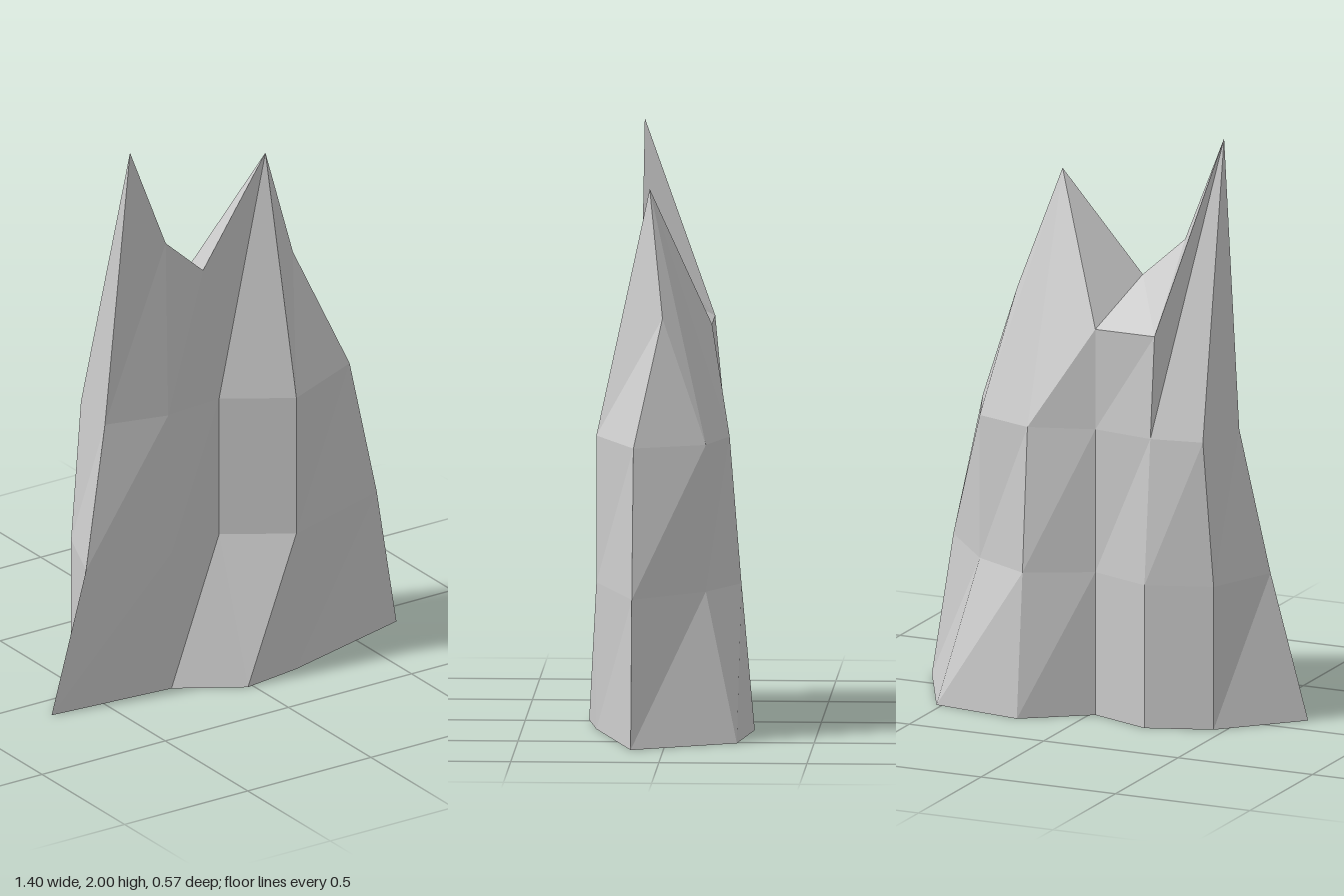
import * as THREE from 'three';

// Cross-sections of the rock, ten corners each, running left side, front, right side, back: [x, y, z]
const ring = (y, corners) => corners.map(([x, z]) => [x, y, z]);

const base = ring(0, [
  [-0.70, 0.11], [-0.24, 0.15], [-0.02, 0.285], [0.20, 0.25], [0.70, 0.11],
  [0.52, -0.24], [0.20, -0.285], [-0.02, -0.13], [-0.24, -0.21], [-0.46, -0.13],
]);
const lower = ring(0.5, [
  [-0.56, 0.11], [-0.24, 0.15], [-0.02, 0.11], [0.20, 0.25], [0.62, 0.11],
  [0.41, -0.13], [0.20, -0.24], [-0.02, -0.13], [-0.24, -0.21], [-0.46, -0.13],
]);
const upper = ring(1, [
  [-0.46, 0.075], [-0.24, 0.13], [-0.02, 0.11], [0.20, 0.25], [0.51, 0.11],
  [0.41, -0.13], [0.20, -0.20], [-0.02, -0.13], [-0.24, -0.163], [-0.42, -0.13],
]);

// Crest: the last section closes onto two peaks, a shoulder and a rear ledge
const tallPeak = [-0.385, 2, 0.115];
const shortPeak = [0.195, 1.84, 0.07];
const shoulder = [0.34, 1.42, 0.02];
const crest = [
  tallPeak, [-0.24, 1.63, 0.115], [-0.085, 1.49, 0.11], shortPeak, shoulder,
  shoulder, shortPeak, [-0.02, 1.35, -0.13], [-0.24, 1.35, -0.13], tallPeak,
];

function rockGeometry() {
  const positions = [];
  const tri = (a, b, c) => {
    // Skip triangles that collapse where crest corners merge
    if (a !== b && b !== c && a !== c) positions.push(...a, ...b, ...c);
  };
  const quad = (a, b, c, d) => { tri(a, b, c); tri(a, c, d); };

  // Side walls
  const rings = [base, lower, upper, crest];
  for (let r = 0; r < rings.length - 1; r++) {
    const low = rings[r], high = rings[r + 1];
    for (let i = 0; i < low.length; i++) {
      const j = (i + 1) % low.length;
      quad(low[i], low[j], high[j], high[i]);
    }
  }

  // Sloping saddle between the peaks and the rear ledge
  tri(crest[3], crest[7], crest[2]);
  quad(crest[2], crest[7], crest[8], crest[1]);
  tri(crest[1], crest[8], crest[0]);

  // Underside
  const outline = base.map(([x, , z]) => new THREE.Vector2(x, -z));
  for (const [a, b, c] of THREE.ShapeUtils.triangulateShape(outline, [])) {
    tri(base[a], base[c], base[b]);
  }

  const geometry = new THREE.BufferGeometry();
  geometry.setAttribute('position', new THREE.Float32BufferAttribute(positions, 3));
  geometry.computeVertexNormals();
  return geometry;
}

export function createModel() {
  const group = new THREE.Group();
  group.name = 'twinPeakRock';
  const stone = new THREE.MeshStandardMaterial({ color: 0xcccccc, flatShading: true });
  const rock = new THREE.Mesh(rockGeometry(), stone);
  rock.name = 'rock';
  group.add(rock);
  return group;
}
